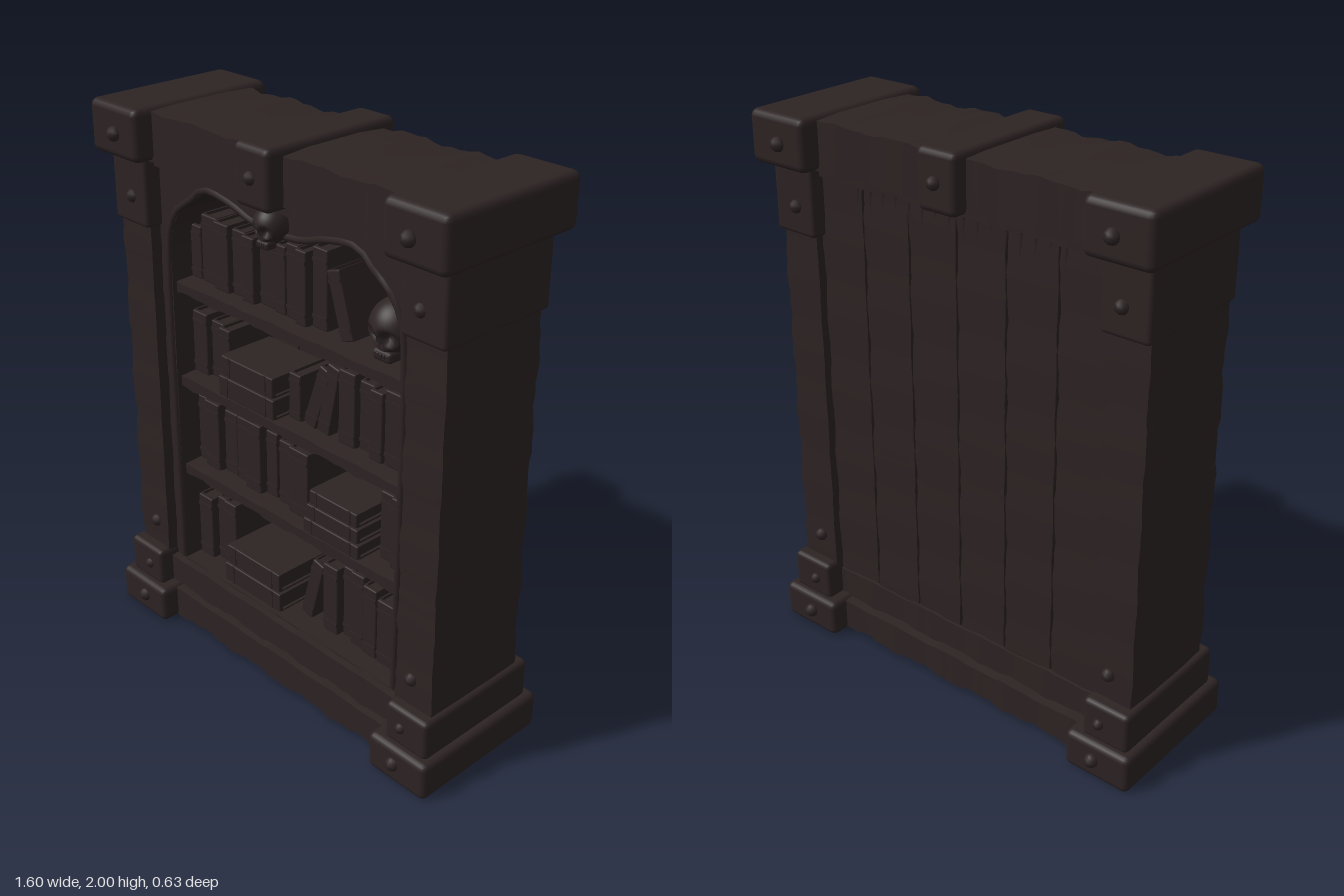
import * as THREE from 'three';
import { toCreasedNormals } from 'three/addons/utils/BufferGeometryUtils.js';
import { RoundedBoxGeometry } from 'three/addons/geometries/RoundedBoxGeometry.js';

const wood = new THREE.MeshStandardMaterial({ color: 0x2d2323 });
wood.name = 'dark aged wood';

function add(parent, name, geometry, x = 0, y = 0, z = 0) {
  const mesh = new THREE.Mesh(geometry, wood);
  mesh.name = name;
  mesh.position.set(x, y, z);
  parent.add(mesh);
  return mesh;
}

// Box with softened edges, given by its limits
function block(parent, name, x0, x1, y0, y1, z0, z1, r = 0.015) {
  const g = new RoundedBoxGeometry(x1 - x0, y1 - y0, z1 - z0, 2, r);
  return add(parent, name, g, (x0 + x1) / 2, (y0 + y1) / 2, (z0 + z1) / 2);
}

// Long plank with gently worn, wavy edges
function plank(parent, name, x0, x1, y0, y1, z0, z1, wear = 0.006, seed = 0) {
  const w = x1 - x0, h = y1 - y0, d = z1 - z0;
  const g = new THREE.BoxGeometry(w, h, d, Math.ceil(w / 0.035), Math.ceil(h / 0.04), 4);
  const p = g.attributes.position;
  for (let i = 0; i < p.count; i++) {
    const x = p.getX(i), y = p.getY(i), z = p.getZ(i);
    const t = (w > h ? x : y) * 23 + seed;
    const k = wear * (0.5 + 0.3 * Math.sin(t) + 0.2 * Math.sin(t * 2.7 + 1));
    const edge = Math.abs(z) > d / 2 - 1e-4;
    if (w > h && Math.abs(y) > h / 2 - 1e-4) p.setY(i, y - Math.sign(y) * k * (edge ? 2 : 0.6));
    if (h > w && Math.abs(x) > w / 2 - 1e-4) p.setX(i, x - Math.sign(x) * k * (edge ? 2 : 0.6));
    if (edge) p.setZ(i, z - Math.sign(z) * k);
  }
  return add(parent, name, toCreasedNormals(g, 0.6), (x0 + x1) / 2, (y0 + y1) / 2, (z0 + z1) / 2);
}

// Faceted nail head on the front (side 1) or back (side -1)
function stud(parent, x, y, z, side, r = 0.024) {
  add(parent, 'stud', new THREE.SphereGeometry(r, 8, 6), x, y, z * side);
}

// Bound book standing up, spine toward the front
function book(parent, w, h, d) {
  const g = new THREE.Group();
  g.name = 'book';
  const t = Math.min(0.007, w * 0.16);
  for (const s of [-1, 1]) add(g, 'cover', new THREE.BoxGeometry(t, h, d), s * (w - t) / 2, h / 2, 0);
  add(g, 'pages', new THREE.BoxGeometry(w - 2 * t, h - 0.02, d - 0.015), 0, h / 2, 0);
  add(g, 'spine', new RoundedBoxGeometry(w, h, 0.018, 2, 0.005), 0, h / 2, d / 2);
  for (const f of [0.15, 0.85]) add(g, 'spineBand', new THREE.BoxGeometry(w * 0.96, 0.012, 0.01), 0, h * f, d / 2 + 0.007);
  parent.add(g);
  return g;
}

// Skull: a sphere with dented sockets, a narrow face and a row of teeth
function skull(parent, name, x, y, z, s) {
  const group = new THREE.Group();
  group.name = name;
  const geo = new THREE.SphereGeometry(1, 40, 32);
  const p = geo.attributes.position, v = new THREE.Vector3();
  const dents = [[-0.4, -0.2, 0.27, 0.35], [0.4, -0.2, 0.27, 0.35], [0, -0.55, 0.15, 0.25]]
    .map(([a, b, r, k]) => ({ c: new THREE.Vector3(a, b, 0.88).normalize(), r, k }));
  for (let i = 0; i < p.count; i++) {
    v.fromBufferAttribute(p, i);
    let k = 1;
    for (const q of dents) k -= q.k * THREE.MathUtils.smoothstep(q.r * 1.3 - v.distanceTo(q.c), 0, q.r * 0.6);
    v.multiplyScalar(k);
    const low = THREE.MathUtils.smoothstep(-v.y, 0.15, 0.8);
    p.setXYZ(i, v.x * (0.92 - 0.22 * low), v.y, v.z);
  }
  geo.computeVertexNormals();
  add(group, 'cranium', geo);
  add(group, 'jaw', new RoundedBoxGeometry(0.85, 0.42, 0.7, 2, 0.14), 0, -0.9, 0.4);
  for (let i = -2; i <= 2; i++) add(group, 'tooth', new RoundedBoxGeometry(0.12, 0.2, 0.1, 1, 0.03), i * 0.14, -0.88, 0.75 - Math.abs(i) * 0.02);
  group.position.set(x, y, z);
  group.scale.setScalar(s);
  parent.add(group);
}

// Ragged strands hanging along a wall
function strands(parent, y, z, halfWidth, count, seed) {
  for (let i = 0; i < count; i++) {
    const len = 0.04 + 0.07 * Math.abs(Math.sin(i * 2.3 + seed));
    const x = halfWidth * ((2 * i + 1) / count - 1);
    const m = add(parent, 'hangingStrand', new THREE.ConeGeometry(0.013, len, 5), x, y - len / 2, z);
    m.rotation.z = Math.PI;
    m.scale.z = 0.4;
  }
}

// Run of upright books filling x0 to x1, widths and heights varied by a rule
function bookRun(parent, y, x0, x1, count, height) {
  const weights = Array.from({ length: count }, (_, i) => 1 + 0.2 * Math.sin(i * 2.4 + y * 7));
  const unit = (x1 - x0) / weights.reduce((a, b) => a + b, 0);
  let x = x0;
  weights.forEach((k, i) => {
    const w = unit * k, d = 0.18 + 0.015 * Math.sin(i * 2.1 + y * 9);
    const h = height - 0.012 * (1 + Math.sin(i * 1.9 + y * 5));
    book(parent, w - 0.005, h, d).position.set(x + w / 2, y, -0.1 + d / 2);
    x += w;
  });
}

// Book leaning on its neighbour
function leaningBook(parent, y, x, height, tilt) {
  const b = book(parent, 0.055, height, 0.17);
  b.position.set(x, y + 0.0275 * Math.sin(Math.abs(tilt)), 0);
  b.rotation.z = tilt;
}

// Books lying flat on one another
function bookPile(parent, y, x0, x1, count, height) {
  const t = height / count;
  for (let i = 0; i < count; i++) {
    const b = book(parent, t - 0.002, x1 - x0 - i * 0.018, 0.23 - i * 0.015);
    b.position.set(x1 - i * 0.011, y + t * (i + 0.5), 0.03);
    b.rotation.z = Math.PI / 2;
  }
}

export function createModel() {
  const model = new THREE.Group();
  model.name = 'bookcase';

  // Columns with caps, brackets, feet and studs
  for (const s of [-1, 1]) {
    const column = new THREE.Group();
    column.name = s > 0 ? 'leftColumn' : 'rightColumn';
    const span = (a, b) => (s > 0 ? [a, b] : [-b, -a]);
    plank(column, 'post', ...span(0.59, 0.755), 0.1, 1.85, -0.205, 0.212, 0.005, s);
    block(column, 'bracket', ...span(0.582, 0.76), 1.57, 1.82, -0.226, 0.232);
    block(column, 'topCap', ...span(0.55, 0.795), 1.81, 1.99, -0.285, 0.285, 0.025);
    block(column, 'foot', ...span(0.545, 0.8), 0, 0.14, -0.28, 0.287, 0.022);
    block(column, 'footStep', ...span(0.592, 0.772), 0.13, 0.28, -0.25, 0.255, 0.018);
    for (const side of [1, -1]) {
      stud(column, s * 0.66, 1.895, 0.288, side, 0.026);
      stud(column, s * 0.66, 1.67, 0.226, side);
      stud(column, s * 0.66, 0.38, 0.208, side);
      stud(column, s * 0.66, 0.205, 0.252, side, 0.02);
      stud(column, s * 0.66, 0.075, 0.284, side, 0.026);
    }
    model.add(column);
  }

  // Top beam with its clasp, and the base
  plank(model, 'topBeam', -0.6, 0.6, 1.8, 1.982, -0.217, 0.217, 0.008);
  plank(model, 'beamTrim', -0.6, 0.6, 1.775, 1.81, -0.19, 0.195, 0.005, 2);
  block(model, 'beamClasp', -0.078, 0.078, 1.8, 2, -0.268, 0.275, 0.022);
  for (const side of [1, -1]) stud(model, 0, 1.9, 0.273, side, 0.023);
  plank(model, 'plinth', -0.6, 0.6, 0.005, 0.135, -0.215, 0.222, 0.008, 4);
  plank(model, 'baseRail', -0.6, 0.6, 0.13, 0.252, -0.185, 0.2, 0.006, 1);

  // Back boards, with ragged strands under the beam
  for (let i = 0; i < 6; i++) plank(model, 'backBoard', -0.6 + i * 0.2, -0.4 + i * 0.2, 0.12, 1.8, -0.175, -0.1, 0.004, i * 2);
  strands(model, 1.8, -0.176, 0.45, 16, 1);

  // Arched front frame with a raised rim
  const frame = new THREE.Shape();
  frame.moveTo(-0.6, 0.24).lineTo(0.6, 0.24).lineTo(0.6, 1.8).lineTo(-0.6, 1.8);
  const arch = [[0.54, 0.252], [0.54, 1.5], [0.525, 1.58], [0.48, 1.65], [0.42, 1.69], [0.35, 1.745], [0.22, 1.735], [0.1, 1.7]]
    .map(([x, y]) => new THREE.Vector2(x, y));
  const outline = [...arch.map((q) => new THREE.Vector2(-q.x, q.y)), ...arch.reverse()];
  frame.holes.push(new THREE.Path(outline));
  add(model, 'archFrame', new THREE.ExtrudeGeometry(frame, { depth: 0.26, bevelEnabled: false }), 0, 0, -0.09);
  const rim = new THREE.CatmullRomCurve3(outline.map((q) => new THREE.Vector3(q.x * 1.015, q.y + 0.006, 0.17)), false, 'centripetal');
  add(model, 'archRim', new THREE.TubeGeometry(rim, 80, 0.012, 6));
  skull(model, 'archSkull', 0, 1.735, 0.187, 0.064);

  // Shelves with strands beneath
  [1.33, 0.97, 0.61].forEach((y, i) => {
    plank(model, 'shelf', -0.545, 0.545, y, y + 0.048, -0.1, 0.155, 0.005, i * 3);
    strands(model, y, -0.095, 0.5, 18, i * 2);
  });

  // Top row, with a skull resting beside the books
  bookRun(model, 1.378, -0.54, -0.48, 1, 0.21);
  bookRun(model, 1.378, -0.48, -0.32, 2, 0.26);
  bookRun(model, 1.378, -0.32, -0.055, 4, 0.25);
  bookRun(model, 1.378, -0.055, 0.13, 3, 0.275);
  leaningBook(model, 1.378, 0.235, 0.23, 0.3);
  skull(model, 'shelfSkull', 0.4, 1.483, 0.045, 0.092);

  // Second row
  bookRun(model, 1.018, -0.54, -0.33, 3, 0.235);
  bookPile(model, 1.018, -0.33, -0.05, 2, 0.15);
  bookRun(model, 1.018, -0.04, 0.02, 1, 0.17);
  leaningBook(model, 1.018, 0.06, 0.24, -0.33);
  leaningBook(model, 1.018, 0.125, 0.26, -0.2);
  bookRun(model, 1.018, 0.195, 0.54, 5, 0.265);

  // Third row
  bookRun(model, 0.658, -0.54, -0.115, 6, 0.268);
  bookRun(model, 0.658, -0.105, 0.065, 2, 0.255);
  bookPile(model, 0.658, 0.095, 0.355, 3, 0.16);
  bookRun(model, 0.658, 0.385, 0.54, 2, 0.265);

  // Bottom row
  bookRun(model, 0.25, -0.54, -0.335, 3, 0.28);
  bookPile(model, 0.25, -0.33, -0.03, 2, 0.15);
  leaningBook(model, 0.25, 0.045, 0.25, -0.25);
  bookRun(model, 0.25, 0.135, 0.395, 4, 0.295);
  bookRun(model, 0.25, 0.395, 0.54, 2, 0.275);
  return model;
}
